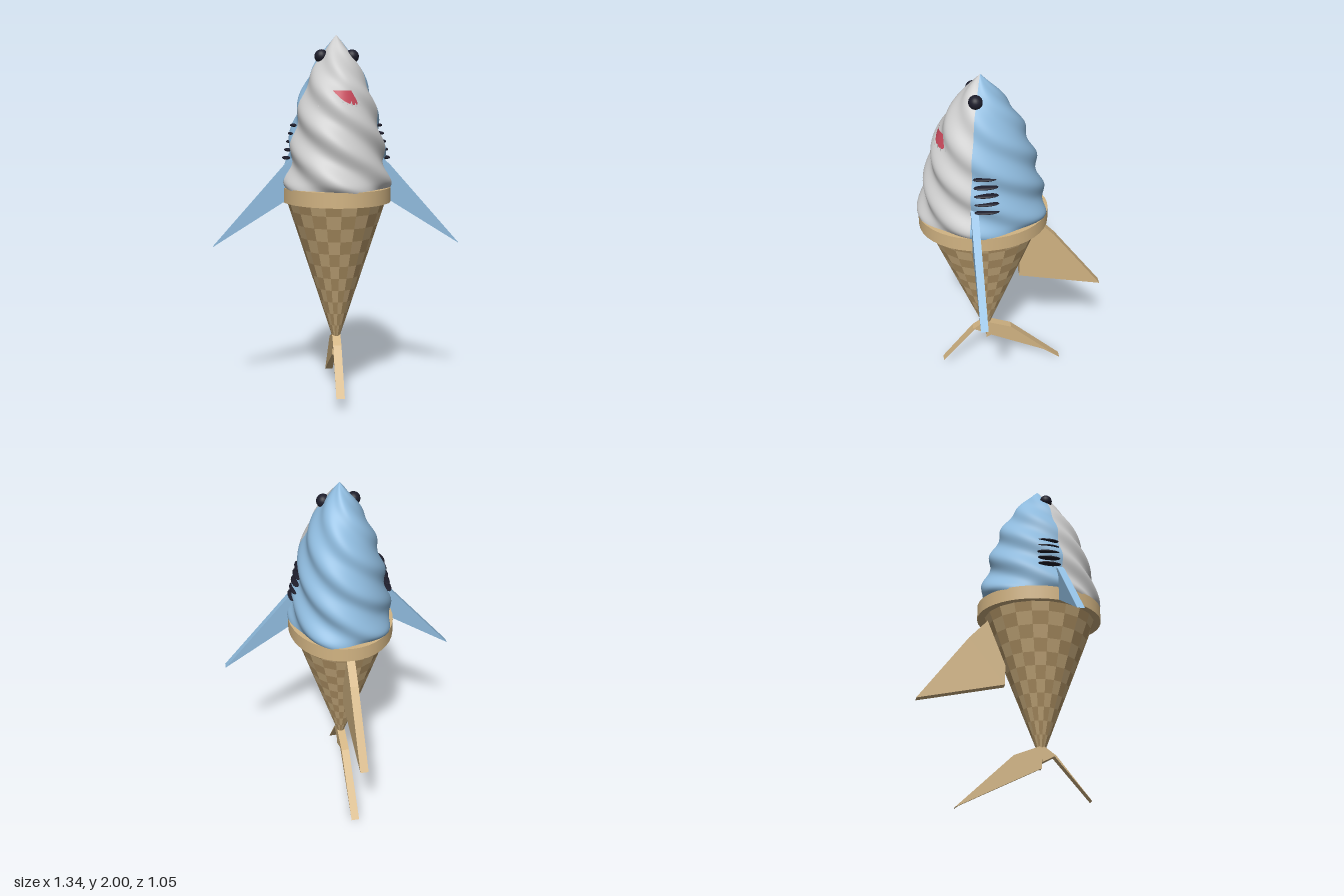
import * as THREE from 'three';

const AXIS_Z = 0.166, SQUASH = 0.83; // body axis and its x/z ratio
const mat = (color, extra = {}) => {
  const m = new THREE.MeshStandardMaterial({ color });
  return Object.assign(m, extra);
};
const BLUE = 0x8fbbde, TAN = 0xd2b483, TAN_DARK = 0xb99a6a, DARK = 0x1d1d2b, RED = 0xc94a5c, GREY = 0xcccccc;

function add(parent, name, geometry, material) {
  const mesh = new THREE.Mesh(geometry, material);
  mesh.name = name;
  parent.add(mesh);
  return mesh;
}

// Grid surface from fn(u, v) -> [x, y, z], u to the right and v up seen from outside
function surface(nu, nv, fn) {
  const pos = [], idx = [];
  for (let j = 0; j <= nv; j++)
    for (let i = 0; i <= nu; i++) pos.push(...fn(i / nu, j / nv));
  for (let j = 0; j < nv; j++)
    for (let i = 0; i < nu; i++) {
      const a = j * (nu + 1) + i, b = a + 1, d = a + nu + 1, c = d + 1;
      idx.push(a, b, c, a, c, d);
    }
  const g = new THREE.BufferGeometry();
  g.setAttribute('position', new THREE.Float32BufferAttribute(pos, 3));
  g.setIndex(idx);
  g.computeVertexNormals();
  return g;
}

// Flat slab: outline in (a, b), extruded by depth, centred on its thickness
function slab(points, depth) {
  const shape = new THREE.Shape(points.map(p => new THREE.Vector2(...p)));
  return new THREE.ExtrudeGeometry(shape, { depth, bevelEnabled: false }).translate(0, 0, -depth / 2);
}
// Slab with its outline in (z, y) and thickness along x
const sideSlab = (points, depth) => slab(points.map(([z, y]) => [-z, y]), depth).rotateY(Math.PI / 2);

// Swirled cream: five twisted lobes on a tapering profile
const profile = new THREE.SplineCurve([
  [0.335, 1.17], [0.347, 1.22], [0.325, 1.31], [0.306, 1.41], [0.284, 1.51], [0.255, 1.61],
  [0.217, 1.71], [0.162, 1.81], [0.104, 1.89], [0.05, 1.95], [0, 2],
].map(p => new THREE.Vector2(...p)));

function swirlPoint(theta, t) {
  const p = profile.getPoint(t);
  const crest = Math.cos(5 * (theta - 2 * Math.PI * (1.22 - p.y)));
  const r = p.x * (1 + 0.05 * crest);
  return [Math.sin(theta) * r * SQUASH, p.y, AXIS_Z + Math.cos(theta) * r];
}

// One colour of the checkered waffle cone
function waffle(parity) {
  const cols = 20, rows = 11, pos = [];
  const at = (i, j) => {
    const k = j / rows, a = i / cols * Math.PI * 2, r = 0.025 + 0.3 * k;
    return [Math.sin(a) * r * 0.85, 0.345 + 0.785 * k, AXIS_Z + Math.cos(a) * r];
  };
  for (let j = 0; j < rows; j++)
    for (let i = 0; i < cols; i++) {
      if ((i + j) % 2 !== parity) continue;
      const a = at(i, j), b = at(i + 1, j), c = at(i + 1, j + 1), d = at(i, j + 1);
      pos.push(...a, ...b, ...c, ...a, ...c, ...d);
    }
  const g = new THREE.BufferGeometry();
  g.setAttribute('position', new THREE.Float32BufferAttribute(pos, 3));
  g.computeVertexNormals();
  return g;
}

export function createModel() {
  const model = new THREE.Group();
  model.name = 'iceCreamShark';
  const tan = mat(TAN, { flatShading: true });
  const blue = mat(BLUE);
  const dark = mat(DARK);

  // Cream, pale belly in front and blue back behind
  const split = THREE.MathUtils.degToRad(74);
  add(model, 'creamBelly', surface(64, 90, (u, v) => swirlPoint(-split + 2 * split * u, v)), mat(GREY));
  add(model, 'creamBack', surface(96, 90, (u, v) =>
    swirlPoint(split + (2 * Math.PI - 2 * split) * u, v)), blue);

  // Cone and rim
  const cone = new THREE.Group();
  cone.name = 'waffleCone';
  model.add(cone);
  add(cone, 'lightWaffle', waffle(0), tan);
  add(cone, 'darkWaffle', waffle(1), mat(TAN_DARK, { flatShading: true }));
  const rim = new THREE.CylinderGeometry(0.358, 0.358, 0.08, 40).scale(SQUASH, 1, 1);
  add(cone, 'coneRim', rim, mat(TAN)).position.set(0, 1.15, AXIS_Z);

  // Dorsal fin on the back of the cone
  add(model, 'dorsalFin', sideSlab(
    [[-0.035, 0.70], [-0.52, 0.59], [-0.24, 0.97], [-0.12, 1.10], [-0.035, 1.10]], 0.046), tan);

  // Tail: a deep rear lobe and a thin front lobe
  const tail = new THREE.Group();
  tail.name = 'tail';
  model.add(tail);
  add(tail, 'rearTailLobe', sideSlab(
    [[0.165, 0.36], [0.013, 0.30], [-0.295, 0.005], [0.06, 0.285], [0.165, 0.235]], 0.046), tan);
  add(tail, 'rearTailWeb', sideSlab(
    [[0.165, 0.235], [0.06, 0.29], [-0.295, 0.005]], 0.012), tan).position.x = -0.017;
  add(tail, 'frontTailLobe', sideSlab(
    [[0.15, 0.37], [0.19, 0.35], [0.245, 0.31], [0.435, 0.07], [0.235, 0.305], [0.17, 0.27]], 0.046), tan);

  // Mirrored parts: side fins, eyes and gills
  for (const s of [1, -1]) {
    const side = s > 0 ? 'left' : 'right';
    const outline = [[0.23, 1.15], [0.295, 1.11], [0.67, 0.875], [0.285, 1.31], [0.23, 1.36]];
    add(model, side + 'SideFin', slab(outline.map(([x, y]) => [s * x, y]), 0.04), blue)
      .position.z = 0.235;
    add(model, side + 'Eye', new THREE.SphereGeometry(0.037, 20, 14), dark)
      .position.set(s * 0.082, 1.885, 0.2);

    const gills = new THREE.Group();
    gills.name = side + 'Gills';
    model.add(gills);
    for (let i = 0; i < 5; i++) {
      const gill = add(gills, 'gill', new THREE.SphereGeometry(1, 16, 10), dark);
      gill.scale.set(0.022, 0.009, 0.066);
      gill.position.set(s * (0.228 + 0.011 * i), 1.52 - 0.0438 * i, 0.172);
    }
  }

  // Mouth: a curved strip half sunk in the swirl, with a row of teeth
  const mouthZ = (x, y) => 0.405 - 5 * x * x + (1.66 - y) * 0.4;
  const mouth = new THREE.Group();
  mouth.name = 'mouth';
  model.add(mouth);
  add(mouth, 'gums', surface(20, 4, (u, v) => {
    const x = -0.115 + 0.23 * u, y = 1.62 + 0.085 * v;
    return [x, y, mouthZ(x, y)];
  }), mat(RED, { side: THREE.DoubleSide }));
  const toothMat = mat(0xf2f2f2, { flatShading: true });
  for (let i = 0; i < 10; i++) {
    const x = -0.1035 + 0.023 * i, h = i % 2 ? 0.034 : 0.024, y = 1.62 + h / 2;
    const tooth = add(mouth, 'tooth', new THREE.ConeGeometry(0.01, h, 4), toothMat);
    tooth.scale.z = 0.5;
    tooth.position.set(x, y, mouthZ(x, y) + 0.002);
  }
  return model;
}
